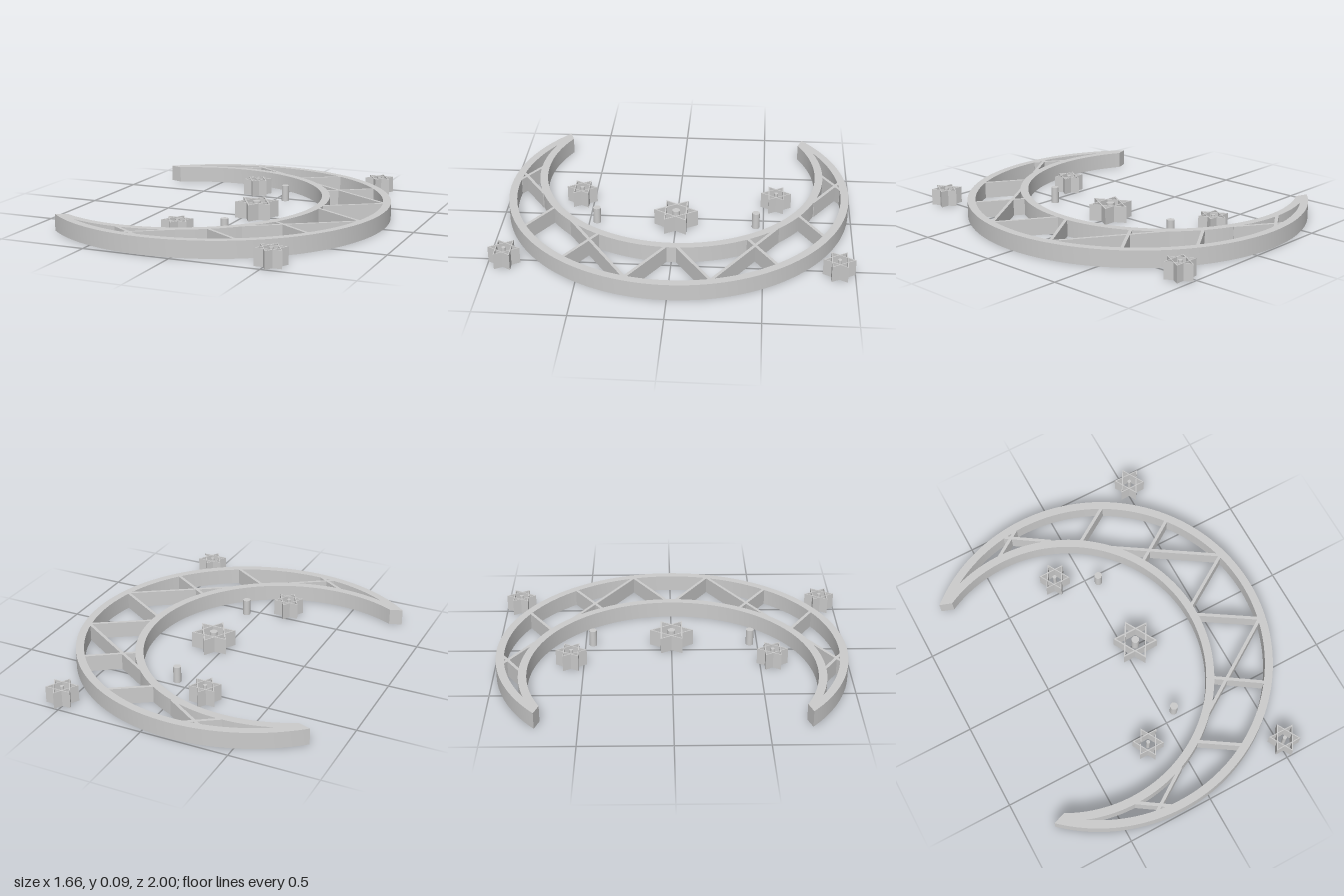
import * as THREE from 'three';
import { toCreasedNormals } from 'three/addons/utils/BufferGeometryUtils.js';

const H = 0.095; // common height of every part
const material = new THREE.MeshStandardMaterial({ color: 0xcccccc });

function addMesh(parent, geometry, name) {
  const mesh = new THREE.Mesh(geometry, material);
  mesh.name = name;
  parent.add(mesh);
  return mesh;
}

// Extrude a plan shape (x, -z) upwards from the ground
function plate(shape) {
  const g = new THREE.ExtrudeGeometry(shape, { depth: H, bevelEnabled: false, curveSegments: 72 });
  g.rotateX(-Math.PI / 2);
  return toCreasedNormals(g, 0.5);
}

// Crescent plan: big arc counter-clockwise, small arc back the other way
const outer = { x: -0.162, r: 0.99 };
const inner = { x: -0.382, r: 0.80 };
const wall = 0.046;

function crescentPath(path, rOuter, rInner, outerTip, innerTip) {
  const a = Math.atan2(outerTip[1], outerTip[0] - outer.x);
  const b = Math.atan2(innerTip[1], innerTip[0] - inner.x);
  path.absarc(outer.x, 0, rOuter, -a, a, false);
  path.absarc(inner.x, 0, rInner, b, -b, true);
  path.closePath();
  return path;
}

function crescentFrame() {
  const shape = crescentPath(new THREE.Shape(), outer.r, inner.r, [-0.83, 0.728], [-0.763, 0.71]);
  // The hollow ends where its two arcs cross
  const R = outer.r - wall, r = inner.r + wall;
  const d = outer.x - inner.x;
  const x = outer.x - (R * R - r * r + d * d) / (2 * d);
  const tip = [x, Math.sqrt(R * R - (x - outer.x) ** 2)];
  shape.holes.push(crescentPath(new THREE.Path(), R, r, tip, tip));
  return plate(shape);
}

// Hexagram wall: one triangular outline, turned to make the second
function triangleFrame(radius, thickness, turn) {
  const corners = (r) => [0, 1, 2].map((i) => {
    const a = turn + Math.PI / 2 + (i * Math.PI * 2) / 3;
    return new THREE.Vector2(r * Math.cos(a), r * Math.sin(a));
  });
  const shape = new THREE.Shape(corners(radius));
  shape.holes.push(new THREE.Path(corners(radius - 2 * thickness)));
  return plate(shape);
}

function addPeg(parent, radius, x, z, name) {
  const geometry = new THREE.CylinderGeometry(radius, radius, H, 24);
  addMesh(parent, geometry, name).position.set(x, H / 2, z);
}

function addStar(parent, radius, pegRadius, x, z, name) {
  const star = new THREE.Group();
  star.name = name;
  star.position.set(x, 0, z);
  const t = radius * 0.06;
  addMesh(star, triangleFrame(radius, t, 0), 'triangleBack');
  addMesh(star, triangleFrame(radius, t, Math.PI), 'triangleFront');
  addPeg(star, pegRadius, 0, 0, 'starPeg');
  parent.add(star);
}

// Straight lattice bar between two plan points
function addStrut(parent, [x1, z1, x2, z2], side, name) {
  const dx = x2 - x1, dz = (z2 - z1) * side;
  const bar = addMesh(parent, new THREE.BoxGeometry(Math.hypot(dx, dz), H, 0.018), name);
  bar.position.set((x1 + x2) / 2, H / 2, ((z1 + z2) / 2) * side);
  bar.rotation.y = -Math.atan2(dz, dx);
}

export function createModel() {
  const model = new THREE.Group();
  model.name = 'crescentWithStars';
  addMesh(model, crescentFrame(), 'crescentFrame');

  // Lattice bars for one half, as x1, z1, x2, z2
  const struts = [
    [0.435, 0.018, 0.765, 0.228],
    [0.19, 0.60, 0.765, 0.228],
    [0.335, 0.405, 0.605, 0.585],
    [0.07, 0.69, 0.305, 0.842],
    [-0.07, 0.782, -0.315, 0.945],
    [-0.395, 0.835, -0.225, 0.948],
  ];

  for (const side of [-1, 1]) {
    const end = side < 0 ? 'Back' : 'Front';
    struts.forEach((s, i) => addStrut(model, s, side, `strut${end}${i + 1}`));
    addStar(model, 0.088, 0.011, -0.16, 0.57 * side, `innerStar${end}`);
    addStar(model, 0.088, 0.011, 0.525, 0.912 * side, `outerStar${end}`);
    addPeg(model, 0.022, 0.069, 0.456 * side, `peg${end}`);
  }
  addStar(model, 0.126, 0.022, 0.069, 0, 'centreStar');
  return model;
}
